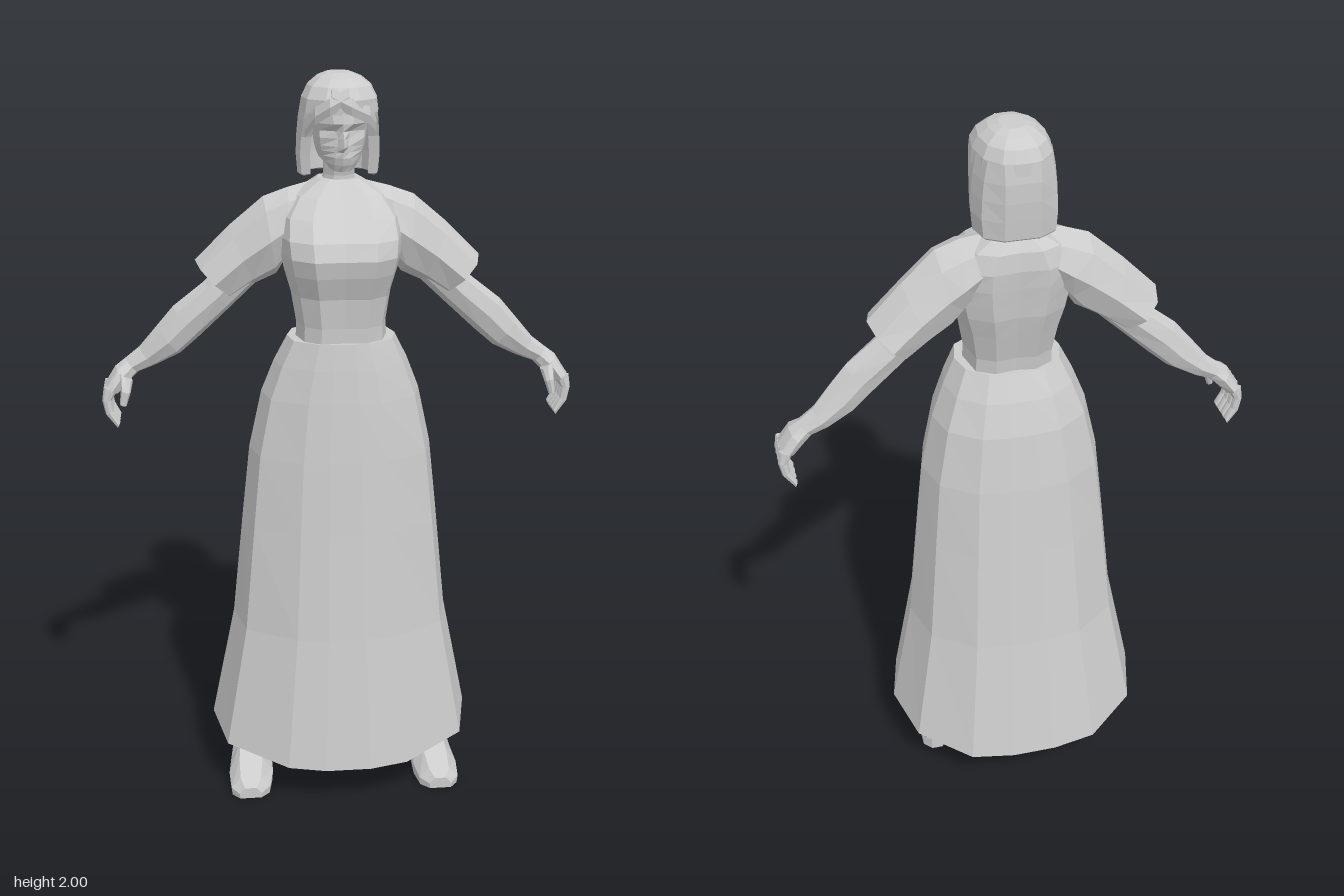
import * as THREE from 'three';

const V = (x, y, z) => new THREE.Vector3(x, y, z);

// Faceted skin through a list of equal-length rings, with optional end caps, facing outward
function loft(rings, capA = true, capB = true) {
  const tris = [], n = rings[0].length;
  for (let i = 0; i < rings.length - 1; i++) {
    for (let j = 0; j < n; j++) {
      const k = (j + 1) % n, a = rings[i][j], b = rings[i][k], c = rings[i + 1][k], d = rings[i + 1][j];
      tris.push([a, b, c], [a, c, d]);
    }
  }
  const cap = (ring, flip) => {
    const m = V(0, 0, 0);
    ring.forEach(p => m.addScaledVector(p, 1 / n));
    ring.forEach((p, j) => {
      const q = ring[(j + 1) % n];
      tris.push(flip ? [m, q, p] : [m, p, q]);
    });
  };
  if (capA) cap(rings[0], true);
  if (capB) cap(rings[rings.length - 1], false);
  const mid = V(0, 0, 0);
  rings.flat().forEach((p, i, all) => mid.addScaledVector(p, 1 / all.length));
  let volume = 0;
  for (const [a, b, c] of tris) {
    volume += a.clone().sub(mid).dot(b.clone().sub(mid).cross(c.clone().sub(mid)));
  }
  const pts = tris.flatMap(([a, b, c]) => (volume < 0 ? [a, c, b] : [a, b, c]));
  const geo = new THREE.BufferGeometry().setFromPoints(pts);
  geo.computeVertexNormals();
  return geo;
}

// Closed ring from a half outline [x, z] mirrored across x = 0
const mirrorRing = (half, place) => {
  const back = half.filter(p => p[0] > 0).reverse().map(([x, z]) => [-x, z]);
  return [...half, ...back].map(([x, z]) => place(x, z));
};

// Horizontal ring: unit half outline fitted to a width, front and back
const level = (profile, y, rx, f, b, yAt = () => 0) =>
  mirrorRing(profile, (x, z) => V(x * rx, y + yAt(x, z), (f + b) / 2 + z * (f - b) / 2));

// Limb section between an upper and a lower contour point
const section = (s, [tx, ty, bx, by, f, b], n = 8) =>
  Array.from({ length: n }, (_, i) => {
    const a = (i / n) * Math.PI * 2, c = Math.cos(a), d = Math.sin(a);
    return V(s * ((tx + bx) / 2 + c * (tx - bx) / 2), (ty + by) / 2 + c * (ty - by) / 2,
      (f + b) / 2 + d * (f - b) / 2);
  });

// Horizontal oval ring around a centre
const oval = (x, y, z, rx, rz, n = 8) =>
  Array.from({ length: n }, (_, i) => {
    const a = ((i + 0.5) / n) * Math.PI * 2;
    return V(x + Math.cos(a) * rx, y, z + Math.sin(a) * rz);
  });

const ROUND = [[.17, 1], [.45, .94], [.9, .58], [1, 0], [.88, -.57], [.5, -.94], [.17, -1]];
const CHEST = [[0, .96], [.5, 1], [.85, .7], [1, .05], [.85, -.75], [.45, -1], [0, -.93]];

export function createModel() {
  const model = new THREE.Group();
  const grey = new THREE.MeshStandardMaterial({ color: 0xcccccc, side: THREE.DoubleSide });
  grey.name = 'plainGrey';
  const add = (name, geo) => {
    const mesh = new THREE.Mesh(geo, grey);
    mesh.name = name;
    model.add(mesh);
  };

  // Long skirt, open below, with the hem raised at the sides
  const skirt = [
    [1.32, .145, .165, -.065], [1.25, .18, .175, -.10], [1.16, .215, .185, -.13], [1, .25, .2, -.157],
    [.8, .272, .216, -.182], [.5, .303, .242, -.222]
  ].map(([y, rx, f, b]) => level(ROUND, y, rx, f, b));
  skirt.push(level(ROUND, .12, .37, .286, -.288, (x, z) => .05 * (1 - z * z)));
  add('skirt', loft(skirt, true, false));

  // Bodice and shoulder yoke
  add('bodice', loft([
    [1.3, .122, .155, -.055], [1.36, .12, .157, -.06], [1.44, .133, .167, -.08], [1.5, .15, .19, -.095],
    [1.545, .16, .2, -.1], [1.59, .165, .183, -.105], [1.64, .16, .135, -.108], [1.69, .125, .085, -.1],
    [1.73, .058, .045, -.07]
  ].map(p => level(CHEST, ...p))));

  add('neck', loft([oval(0, 1.68, -.015, .055, .055), oval(0, 1.74, -.008, .043, .046),
    oval(0, 1.82, .005, .044, .052)]));

  // Face rings: y, centre z, inner x and z, cheek x and z, side width
  const face = [
    [1.76, .102, .018, .098, .03, .075, .036], [1.777, .113, .022, .105, .045, .07, .055],
    [1.796, .119, .02, .112, .048, .075, .061], [1.811, .121, .018, .11, .052, .078, .064],
    [1.825, .146, .014, .113, .055, .08, .067], [1.845, .132, .013, .108, .057, .085, .07],
    [1.863, .12, .018, .103, .058, .08, .072], [1.882, .123, .024, .119, .06, .088, .073],
    [1.92, .118, .03, .112, .062, .085, .073], [1.96, .085, .03, .08, .05, .06, .06]
  ];
  add('head', loft(face.map(([y, zc, a, za, b, zb, c], i) =>
    mirrorRing([[0, zc], [a, za], [b, zb], [c, .015], [c * .85, -.06], [0, -.09]],
      (x, z) => V(x, y + Math.max(0, .045 - .014 * i) * (zc - z) * 4, z)))));

  // Hair crown
  add('hairCrown', loft([
    [1.905, .103, .119, -.122], [1.94, .098, .122, -.12], [1.97, .083, .103, -.106],
    [1.99, .058, .072, -.08], [2, .032, .035, -.05]
  ].map(p => level(ROUND, ...p))));

  // Bobbed hair wrapping the sides and back: y, width, front z, back z, thickness
  add('hairBob', loft([
    [1.94, .095, .075, -.118, .03], [1.89, .104, .055, -.124, .03], [1.84, .109, .03, -.124, .028],
    [1.79, .111, .018, -.121, .026], [1.74, .107, .008, -.117, .024], [1.735, .1, .002, -.112, 0]
  ].map(([y, rx, f, b, t]) => {
    const side = d => [[rx - .008 - d, f], [rx - d, -.03], [rx - .015 - d, -.088 + d * .5], [.045, b + d]];
    const arc = d => [...side(d), ...side(d).reverse().map(([x, z]) => [-x, z])];
    return [...arc(0), ...arc(t).reverse()].map(([x, z]) => V(x, y, z));
  }), false, false));

  // Swept fringe locks
  for (const [s, top, tip] of [[-1, .035, 1.86], [1, .02, 1.875]]) {
    const lock = [[top - .05, 1.95, .119], [top, 1.925, .126], [.07, 1.9, .098], [.092, tip, .05]];
    add('fringe', loft(lock.map(([x, y, z]) =>
      [V(s * x, y + .022, z - .004), V(s * x, y, z + .004), V(s * x, y - .022, z - .004), V(s * x, y, z - .03)])));
  }

  for (const s of [1, -1]) {
    const side = s > 0 ? 'left' : 'right';
    const limb = (part, rows, a = true, b = true) =>
      add(side + part, loft(rows.map(r => section(s, r)), a, b));

    // Short flared sleeve
    limb('Sleeve', [
      [.06, 1.722, .11, 1.56, .045, -.095], [.135, 1.705, .145, 1.51, .085, -.105],
      [.2, 1.682, .168, 1.475, .085, -.105], [.29, 1.605, .222, 1.448, .07, -.112],
      [.383, 1.512, .282, 1.412, .066, -.12]
    ], true, false);

    // Bare arm
    limb('Arm', [
      [.27, 1.55, .2, 1.47, .035, -.075], [.36, 1.455, .29, 1.385, .03, -.07],
      [.445, 1.388, .375, 1.305, .022, -.068], [.49, 1.335, .43, 1.257, .018, -.07],
      [.54, 1.275, .50, 1.222, .002, -.07], [.578, 1.245, .545, 1.205, -.002, -.066]
    ]);

    // Hand with curled fingers and a thumb
    limb('Palm', [
      [.578, 1.245, .545, 1.205, -.002, -.066], [.606, 1.225, .568, 1.183, .02, -.075],
      [.638, 1.175, .595, 1.155, .03, -.078]
    ]);
    for (let i = 0; i < 4; i++) {
      const f = .026 - i * .026, b = f - .024;
      limb('Finger', [
        [.638, 1.178, .603, 1.165, f, b], [.644, 1.14, .618, 1.14, f, b],
        [.636, 1.1, .614, 1.11, f, b], [.606, 1.06, .598, 1.078, f, b]
      ]);
    }
    limb('Thumb', [
      [.595, 1.215, .56, 1.19, .025, -.02], [.592, 1.175, .566, 1.165, .05, .018],
      [.596, 1.135, .578, 1.13, .05, .026]
    ]);

    // Leg under the skirt
    add(side + 'Leg', loft([
      oval(s * .09, 1.1, .02, .08, .09), oval(s * .17, .6, .01, .062, .066),
      oval(s * .225, .36, -.02, .056, .06), oval(s * .255, .15, -.043, .045, .045)
    ]));

    // Boot: shaft, foot running to the toe, and block heel
    add(side + 'BootShaft', loft([
      oval(s * .25, .24, -.038, .053, .055), oval(s * .256, .16, -.043, .049, .047),
      oval(s * .26, .08, -.042, .047, .05)
    ]));
    const foot = [
      [-.09, .036, .045, .11], [-.03, .046, .04, .15], [.02, .05, .025, .14], [.07, .056, .003, .105],
      [.13, .06, 0, .078], [.19, .053, 0, .052], [.218, .03, .003, .035]
    ].map(([z, w, lo, hi]) => [[-1, .0], [1, 0], [1.05, .45], [.55, 1], [-.55, 1], [-1.05, .45]]
      .map(([u, v]) => V(s * (.26 + z * .06) + u * w, lo + v * (hi - lo), z)));
    add(side + 'BootFoot', loft(foot));
    add(side + 'BootHeel', loft([
      oval(s * .258, .075, -.046, .045, .048), oval(s * .258, 0, -.05, .041, .044)
    ]));
  }
  return model;
}
